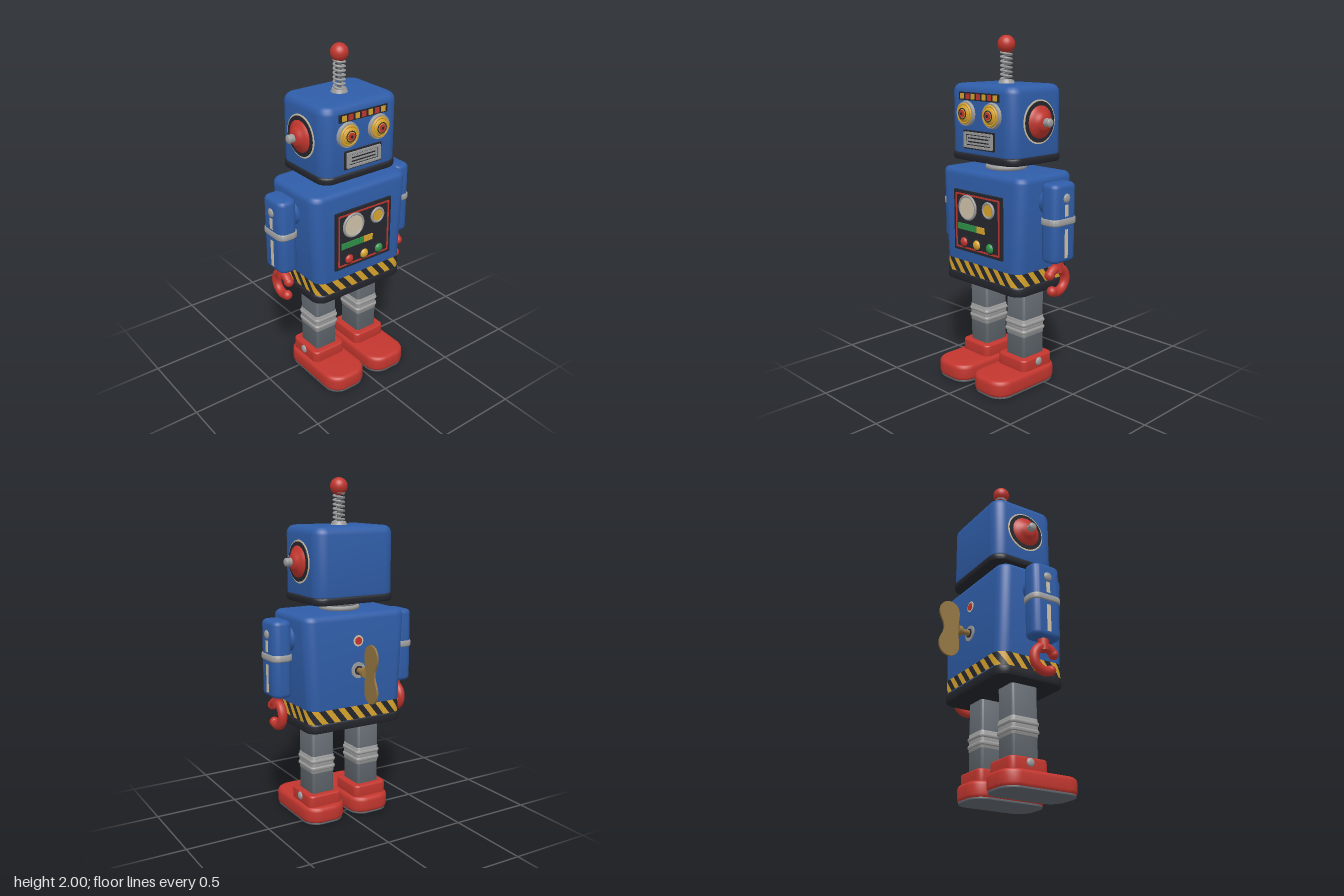
import * as THREE from 'three';
import { toCreasedNormals } from 'three/addons/utils/BufferGeometryUtils.js';

const paint = (name, color, side = THREE.FrontSide) => {
  const m = new THREE.MeshStandardMaterial({ color, side });
  m.name = name;
  return m;
};

// Rounded rectangle, starting on its lower edge and running counter-clockwise
function roundRect(w, d, r) {
  const a = w / 2, b = d / 2, s = new THREE.Shape();
  s.moveTo(-a + r, -b).lineTo(a - r, -b);
  s.absarc(a - r, -b + r, r, -Math.PI / 2, 0);
  s.lineTo(a, b - r);
  s.absarc(a - r, b - r, r, 0, Math.PI / 2);
  s.lineTo(-a + r, b);
  s.absarc(-a + r, b - r, r, Math.PI / 2, Math.PI);
  s.lineTo(-a, -b + r);
  s.absarc(-a + r, -b + r, r, Math.PI, Math.PI * 1.5);
  return s;
}

// Upright block from y0 to y1 with rounded corners and rounded top and bottom edges
function slab(w, d, r, y0, y1, bevel) {
  const g = new THREE.ExtrudeGeometry(roundRect(w - 2 * bevel, d - 2 * bevel, Math.max(r - bevel, 0.004)), {
    depth: y1 - y0 - 2 * bevel, bevelThickness: bevel, bevelSize: bevel, bevelSegments: 4, curveSegments: 5,
  });
  g.rotateX(-Math.PI / 2).translate(0, y0 + bevel, 0);
  return toCreasedNormals(g, 0.75);
}

export function createModel() {
  const blue = paint('blue tin', 0x2f5da8), dark = paint('black trim', 0x25272e);
  const red = paint('red', 0xc2362e), yellow = paint('yellow', 0xd9a42c);
  const silver = paint('silver', 0x9b9c9b), grey = paint('leg grey', 0x636a71);
  const cream = paint('cream', 0xcfc3aa), green = paint('green', 0x2f9148);
  const brass = paint('brass', 0x957640);
  const model = new THREE.Group();
  const CZ = 0.042; // body axis

  const add = (parent, name, geo, mat, x = 0, y = 0, z = 0) => {
    const m = new THREE.Mesh(geo, mat);
    m.name = name;
    m.position.set(x, y, z);
    parent.add(m);
    return m;
  };
  const group = (name, parent = model) => {
    const g = new THREE.Group();
    g.name = name;
    parent.add(g);
    return g;
  };
  const box = (p, name, mat, w, h, d, x, y, z) => add(p, name, new THREE.BoxGeometry(w, h, d), mat, x, y, z);
  // Disc or stud facing +z, its back at z
  const disc = (p, name, mat, r, h, x, y, z, rTop = r) =>
    add(p, name, new THREE.CylinderGeometry(rTop, r, h, 28).rotateX(Math.PI / 2), mat, x, y, z + h / 2);
  const dome = (p, name, mat, r, h, x, y, z) =>
    add(p, name, new THREE.SphereGeometry(r, 24, 16).scale(1, 1, h / r), mat, x, y, z);
  const frame = (p, name, mat, w, h, t, d, x, y, z) => {
    const s = roundRect(w, h, 0.006);
    s.holes.push(roundRect(w - 2 * t, h - 2 * t, 0.004));
    return add(p, name, new THREE.ExtrudeGeometry(s, { depth: d, bevelEnabled: false, curveSegments: 3 }), mat, x, y, z);
  };

  // Torso, narrowing slightly towards the waist
  const torso = group('torso');
  const shell = slab(0.672, 0.43, 0.07, 0.6, 1.252, 0.035);
  const p = shell.attributes.position;
  for (let i = 0; i < p.count; i++) p.setX(i, p.getX(i) * (1 - 0.17 * Math.max(0, 1.2 - p.getY(i))));
  add(torso, 'torsoShell', toCreasedNormals(shell, 0.75), blue, 0, 0, CZ);
  add(torso, 'baseRim', slab(0.63, 0.436, 0.07, 0.582, 0.642, 0.015), dark, 0, 0, CZ);

  // Slanted hazard stripes wrapped around the waist
  const path = roundRect(0.617, 0.437, 0.07), STRIPES = 48;
  const stripeBand = (parity) => {
    const pos = [], idx = [], rows = 4, cols = 3;
    for (let i = parity; i < STRIPES; i += 2) {
      const base = pos.length / 3;
      for (let r = 0; r <= rows; r++) for (let c = 0; c <= cols; c++) {
        const u = (i + c / cols - 1.5 * r / rows) / STRIPES;
        const q = path.getPoint(((u % 1) + 1) % 1);
        pos.push(q.x, 0.638 + 0.078 * r / rows, CZ - q.y);
        if (r < rows && c < cols) {
          const a = base + r * (cols + 1) + c, b = a + cols + 1;
          idx.push(a, a + 1, b + 1, a, b + 1, b);
        }
      }
    }
    const g = new THREE.BufferGeometry();
    g.setAttribute('position', new THREE.Float32BufferAttribute(pos, 3));
    g.setIndex(idx);
    g.computeVertexNormals();
    return g;
  };
  add(torso, 'yellowStripes', stripeBand(0), yellow);
  add(torso, 'blackStripes', stripeBand(1), dark);

  // Chest control panel
  const panel = group('chestPanel');
  box(panel, 'panelPlate', dark, 0.396, 0.356, 0.02, 0, 0.957, 0.26);
  frame(panel, 'panelOutline', red, 0.362, 0.322, 0.009, 0.005, 0, 0.957, 0.269);
  for (const [x, y, r, mat] of [[-0.077, 1.04, 0.064, cream], [0.095, 1.05, 0.038, yellow]]) {
    add(panel, 'dialRim', new THREE.TorusGeometry(r + 0.003, 0.008, 8, 32), silver, x, y, 0.274);
    disc(panel, 'dialFace', mat, r, 0.01, x, y, 0.268);
  }
  for (let i = 0; i < 7; i++)
    box(panel, 'meterSegment', i < 5 ? green : yellow, 0.029, 0.036, 0.008, -0.145 + i * 0.032, 0.925, 0.273);
  [red, yellow, green].forEach((mat, i) => {
    disc(panel, 'buttonCollar', dark, 0.035, 0.008, -0.108 + i * 0.108, 0.835, 0.268);
    dome(panel, 'button', mat, 0.028, 0.02, -0.108 + i * 0.108, 0.835, 0.273);
  });

  // Neck rings
  const neck = group('neck');
  add(neck, 'neckCore', new THREE.CylinderGeometry(0.105, 0.105, 0.08, 32), grey, 0, 1.28, CZ);
  for (const y of [1.265, 1.295])
    add(neck, 'neckRing', new THREE.TorusGeometry(0.107, 0.014, 8, 36).rotateX(Math.PI / 2), silver, 0, y, CZ);

  // Head
  const head = group('head');
  add(head, 'headShell', slab(0.516, 0.41, 0.075, 1.312, 1.735, 0.045), blue, 0, 0, CZ);
  add(head, 'headRim', slab(0.528, 0.42, 0.078, 1.305, 1.35, 0.014), dark, 0, 0, CZ);

  // Brow light strip
  box(head, 'browStrip', dark, 0.325, 0.044, 0.012, 0, 1.668, 0.247);
  for (let i = 0; i < 7; i++)
    box(head, 'browLight', i % 2 ? red : yellow, 0.028, 0.03, 0.006, -0.132 + i * 0.044, 1.668, 0.255);

  // Eyes
  for (const s of [-1, 1]) {
    const eye = group(s > 0 ? 'leftEye' : 'rightEye', head);
    eye.position.set(s * 0.105, 1.572, 0);
    disc(eye, 'eyeBezel', silver, 0.074, 0.024, 0, 0, 0.24, 0.067);
    add(eye, 'eyeRing', new THREE.TorusGeometry(0.052, 0.008, 8, 32), yellow, 0, 0, 0.265);
    dome(eye, 'eyeLens', yellow, 0.052, 0.022, 0, 0, 0.262);
    add(eye, 'irisRing', new THREE.TorusGeometry(0.029, 0.003, 6, 28), dark, 0, 0, 0.281);
    disc(eye, 'pupil', red, 0.021, 0.008, 0, 0, 0.279);
    disc(eye, 'pupilCentre', dark, 0.008, 0.005, 0, 0, 0.284);
  }

  // Mouth grille
  box(head, 'mouthPlate', dark, 0.25, 0.105, 0.016, 0, 1.428, 0.247);
  frame(head, 'mouthFrame', silver, 0.232, 0.088, 0.013, 0.012, 0, 1.428, 0.252);
  box(head, 'mouthInset', silver, 0.194, 0.05, 0.008, 0, 1.428, 0.254);
  for (const y of [1.418, 1.438]) box(head, 'mouthSlot', dark, 0.165, 0.007, 0.005, 0, y, 0.257);

  // Ears: flared caps with pins, built along +z and turned outwards
  for (const s of [-1, 1]) {
    const ear = group(s > 0 ? 'leftEar' : 'rightEar', head);
    ear.position.set(s * 0.25, 1.537, CZ);
    ear.rotation.y = s * Math.PI / 2;
    disc(ear, 'earPlate', cream, 0.122, 0.012, 0, 0, 0);
    disc(ear, 'earGasket', dark, 0.113, 0.016, 0, 0, 0);
    const flare = [[0.09, 0.01], [0.09, 0.02], [0.07, 0.03], [0.05, 0.046], [0.036, 0.06], [0, 0.062]];
    add(ear, 'earCone', new THREE.LatheGeometry(flare.map(([r, h]) => new THREE.Vector2(r, h)), 32).rotateX(Math.PI / 2), red);
    disc(ear, 'earPin', silver, 0.024, 0.036, 0, 0, 0.055);
    dome(ear, 'earPinTip', silver, 0.024, 0.012, 0, 0, 0.089);
  }

  // Spring antenna
  const antenna = group('antenna');
  antenna.position.set(0, 0, CZ - 0.002);
  add(antenna, 'antennaBase', new THREE.CylinderGeometry(0.04, 0.05, 0.025, 28), silver, 0, 1.742, 0);
  const coil = Array.from({ length: 113 }, (_, i) => {
    const a = i / 112 * Math.PI * 14;
    return new THREE.Vector3(Math.cos(a) * 0.03, 1.75 + 0.17 * i / 112, Math.sin(a) * 0.03);
  });
  add(antenna, 'spring', new THREE.TubeGeometry(new THREE.CatmullRomCurve3(coil), 224, 0.0065, 6), silver);
  add(antenna, 'antennaCore', new THREE.CylinderGeometry(0.012, 0.012, 0.18, 12), grey, 0, 1.835, 0);
  add(antenna, 'antennaBall', new THREE.SphereGeometry(0.05, 28, 20), red, 0, 1.95, 0);

  // Claw outline: an open ring with its gap facing forwards
  const claw = new THREE.CatmullRomCurve3(Array.from({ length: 15 }, (_, i) => {
    const a = 0.6 + i / 14 * (Math.PI * 2 - 1.6);
    return new THREE.Vector3(0, Math.sin(a) * 0.069, Math.cos(a) * 0.069);
  }));

  for (const s of [-1, 1]) {
    const side = s > 0 ? 'left' : 'right';

    // Arm
    const arm = group(side + 'Arm');
    arm.position.set(s * 0.408, 0, CZ);
    add(arm, 'shoulderJoint', new THREE.CylinderGeometry(0.075, 0.075, 0.09, 28).rotateZ(Math.PI / 2), blue, -s * 0.07, 1.11, 0);
    add(arm, 'armShell', slab(0.118, 0.184, 0.045, 0.782, 1.222, 0.025), blue);
    add(arm, 'armBand', slab(0.13, 0.196, 0.048, 0.993, 1.032, 0.008), silver);
    box(arm, 'lowerSlot', cream, 0.006, 0.16, 0.024, s * 0.059, 0.89, 0);
    box(arm, 'upperSlot', cream, 0.006, 0.065, 0.024, s * 0.059, 1.075, 0);
    add(arm, 'armBolt', new THREE.SphereGeometry(0.026, 18, 12).scale(0.5, 1, 1), silver, s * 0.058, 1.142, 0);
    // Hand
    const hand = group(side + 'Hand', arm);
    hand.position.set(0, 0.672, 0.008);
    add(hand, 'wrist', new THREE.CylinderGeometry(0.03, 0.03, 0.08, 20), red, 0, 0.085, -0.008);
    add(hand, 'claw', new THREE.TubeGeometry(claw, 40, 0.027, 12), red);
    for (const t of [0, 1]) add(hand, 'clawTip', new THREE.SphereGeometry(0.029, 16, 12), red).position.copy(claw.getPoint(t));

    // Leg
    const leg = group(side + 'Leg');
    leg.position.set(s * 0.156, 0, CZ);
    add(leg, 'legPost', slab(0.146, 0.168, 0.018, 0.12, 0.6, 0.004), grey);
    add(leg, 'kneeBand', slab(0.152, 0.174, 0.02, 0.295, 0.4, 0.004), silver);
    for (const y of [0.326, 0.37]) add(leg, 'kneeRib', slab(0.166, 0.188, 0.026, y - 0.013, y + 0.013, 0.012), silver);
    // Foot
    const foot = group(side + 'Foot', leg);
    add(foot, 'ankle', slab(0.222, 0.242, 0.035, 0.09, 0.172, 0.012), red);
    add(foot, 'shoe', slab(0.264, 0.49, 0.095, 0.004, 0.104, 0.025), red, 0, 0, 0.088);
    add(foot, 'sole', slab(0.25, 0.476, 0.088, 0, 0.016, 0.002), grey, 0, 0, 0.088);
    add(foot, 'ankleBolt', new THREE.SphereGeometry(0.024, 18, 12).scale(0.5, 1, 1), silver, s * 0.112, 0.143, 0);
  }

  // Wind-up key on the back, built along +z and turned around
  const key = group('windUpKey');
  key.position.set(0, 0.925, -0.17);
  key.rotation.y = Math.PI;
  disc(key, 'keyPlate', silver, 0.046, 0.01, 0, 0, 0);
  disc(key, 'keyHole', dark, 0.026, 0.014, 0, 0, 0);
  disc(key, 'keyShaft', brass, 0.017, 0.075, 0, 0, 0);
  disc(key, 'keyCollar', brass, 0.03, 0.022, 0, 0, 0.066);
  const wing = new THREE.Shape();
  wing.moveTo(0.085, 0).bezierCurveTo(0.085, 0.045, 0.078, 0.06, 0.078, 0.1);
  wing.bezierCurveTo(0.078, 0.19, 0.202, 0.19, 0.204, 0.1).bezierCurveTo(0.204, 0.055, 0.175, 0.04, 0.175, 0);
  wing.bezierCurveTo(0.175, -0.04, 0.204, -0.055, 0.204, -0.1).bezierCurveTo(0.202, -0.19, 0.078, -0.19, 0.078, -0.1);
  wing.bezierCurveTo(0.078, -0.06, 0.085, -0.045, 0.085, 0);
  const blade = new THREE.ExtrudeGeometry(wing, { depth: 0.012, bevelEnabled: false, curveSegments: 14 });
  add(key, 'keyWings', toCreasedNormals(blade.rotateY(-Math.PI / 2), 0.6), brass, 0.006);

  // Small winding marker above the key
  disc(key, 'markerPlate', cream, 0.032, 0.006, 0, 0.17, 0);
  disc(key, 'markerDot', red, 0.022, 0.009, 0, 0.17, 0);

  return model;
}
